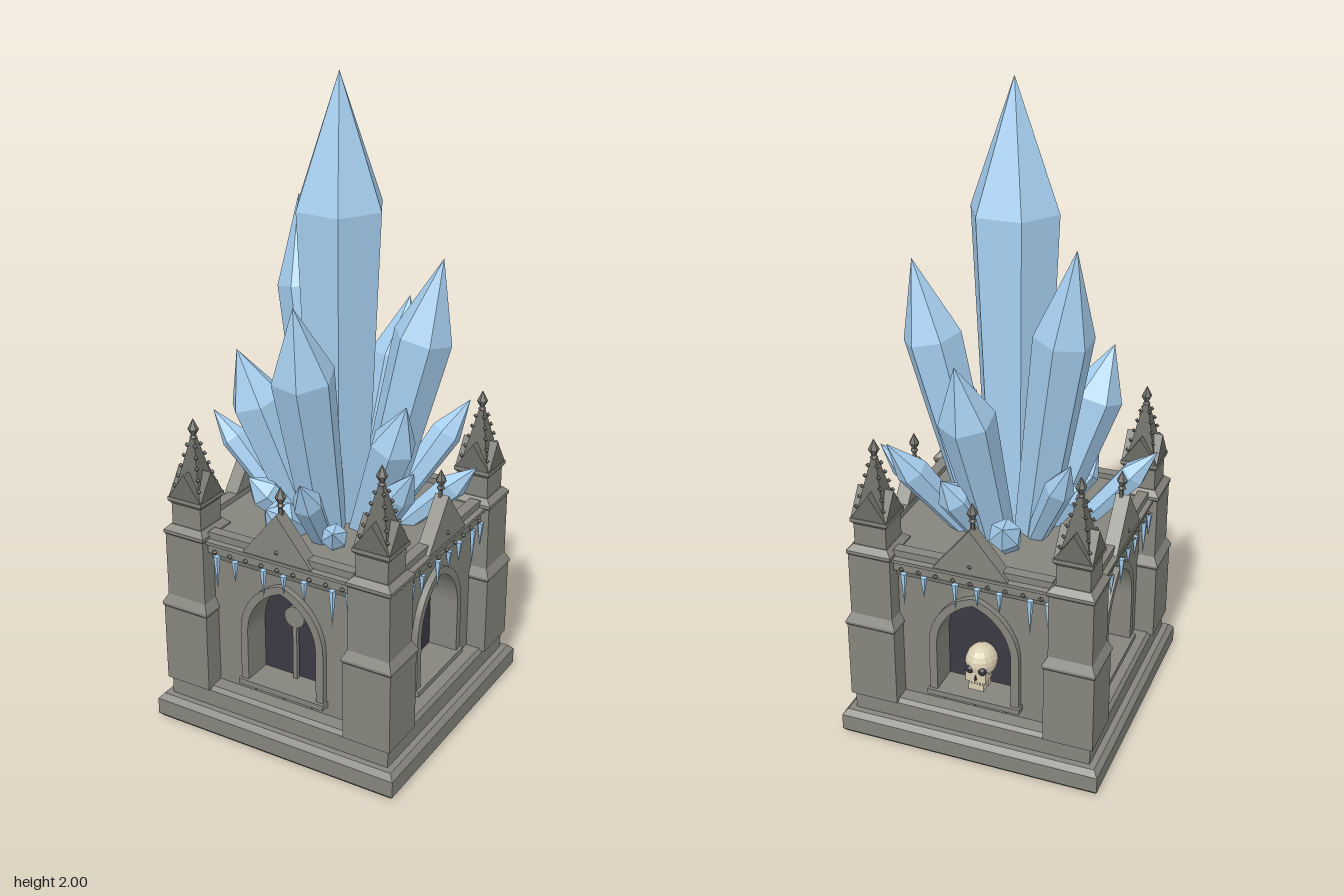
import * as THREE from 'three';

const mat = (color) => new THREE.MeshStandardMaterial({ color, flatShading: true });
const STONE = mat(0x85857d), TRIM = mat(0x6c6c66), DARK = mat(0x3b3a44);
const ICE = mat(0xa6cff0), BONE = mat(0xd9ceb2);

function add(parent, name, geometry, material, x = 0, y = 0, z = 0) {
  const m = new THREE.Mesh(geometry, material);
  m.name = name;
  m.position.set(x, y, z);
  parent.add(m);
  return m;
}

// Revolved profile of [radius, y] pairs, bottom to top
const turned = (pts, sides) => new THREE.LatheGeometry(pts.map(([r, y]) => new THREE.Vector2(r, y)), sides);

// Square-plan moulding from [half width, y] pairs
function squareTier(pts) {
  const v = pts.map(([h, y]) => new THREE.Vector2(h * Math.SQRT2, y));
  v.unshift(new THREE.Vector2(0, pts[0][1]));
  v.push(new THREE.Vector2(0, pts[pts.length - 1][1]));
  return new THREE.LatheGeometry(v, 4, Math.PI / 4);
}

// Pointed arch outline: half width w, bottom y0, springing ys, rise h
function archPath(path, w, y0, ys, h) {
  const R = (h * h + w * w) / (2 * w), a = Math.acos((R - w) / R);
  path.moveTo(-w, y0);
  path.lineTo(w, y0);
  path.absarc(w - R, ys, R, 0, a, false);
  path.absarc(R - w, ys, R, Math.PI - a, Math.PI, false);
  path.lineTo(-w, y0);
  return path;
}

const extrude = (shape, depth) => new THREE.ExtrudeGeometry(shape, { depth, bevelEnabled: false, curveSegments: 8 });

function triangle(w, y0, y1) {
  const s = new THREE.Shape();
  s.moveTo(-w, y0);
  s.lineTo(w, y0);
  s.lineTo(0, y1);
  s.closePath();
  return s;
}

const finialGeo = turned([[0, 0], [0.008, 0], [0.007, 0.025], [0.013, 0.03], [0.007, 0.038], [0.017, 0.056], [0, 0.09]], 6);

// Six-sided crystal growing from base to tip, widening to its shoulder
function crystal(parent, base, tip, r, turn = 0) {
  const a = new THREE.Vector3(...base), d = new THREE.Vector3(...tip).sub(a), L = d.length();
  const geo = turned([[0, 0], [r * 0.68, 0], [r, L * 0.73], [0, L]], 6);
  geo.rotateY(turn);
  const m = add(parent, 'crystal', geo, ICE, ...base);
  m.quaternion.setFromUnitVectors(new THREE.Vector3(0, 1, 0), d.normalize());
}

function buildSkull() {
  const g = new THREE.Group();
  g.name = 'skull';
  add(g, 'cranium', new THREE.SphereGeometry(0.05, 14, 10), BONE, 0, 0.295, 0).scale.set(1, 1.05, 1.1);
  add(g, 'cheeks', new THREE.BoxGeometry(0.066, 0.035, 0.05), BONE, 0, 0.26, 0.025);
  add(g, 'jaw', new THREE.BoxGeometry(0.05, 0.022, 0.045), BONE, 0, 0.222, 0.025);
  for (const s of [-1, 1]) {
    add(g, 'eyeSocket', new THREE.SphereGeometry(0.014, 8, 6), DARK, s * 0.02, 0.284, 0.045);
    add(g, 'jawHinge', new THREE.BoxGeometry(0.008, 0.045, 0.018), BONE, s * 0.026, 0.238, 0.01);
  }
  add(g, 'nose', new THREE.ConeGeometry(0.008, 0.02, 3), DARK, 0, 0.262, 0.05);
  for (let i = -2; i <= 2; i++) add(g, 'tooth', new THREE.BoxGeometry(0.007, 0.014, 0.006), BONE, i * 0.009, 0.238, 0.045);
  return g;
}

// One wall with niche, gable, cornice ornaments and icicles, facing +z
function buildSide(hasSkull) {
  const g = new THREE.Group();
  const wall = new THREE.Shape();
  wall.moveTo(-0.3, 0.14);
  wall.lineTo(0.3, 0.14);
  wall.lineTo(0.3, 0.6);
  wall.lineTo(-0.3, 0.6);
  wall.closePath();
  wall.holes.push(archPath(new THREE.Path(), 0.12, 0.19, 0.36, 0.165));
  add(g, 'wall', extrude(wall, 0.08), STONE, 0, 0, 0.25);

  const frame = archPath(new THREE.Shape(), 0.145, 0.19, 0.36, 0.19);
  frame.holes.push(archPath(new THREE.Path(), 0.12, 0.19, 0.36, 0.165));
  add(g, 'archMoulding', extrude(frame, 0.025), STONE, 0, 0, 0.325);

  // Sill on small corbels
  add(g, 'sill', new THREE.BoxGeometry(0.3, 0.018, 0.11), STONE, 0, 0.187, 0.305);
  for (const x of [-0.1, 0, 0.1]) add(g, 'corbel', new THREE.ConeGeometry(0.012, 0.022, 4), TRIM, x, 0.169, 0.342).rotation.x = Math.PI;

  if (hasSkull) {
    const skull = buildSkull();
    skull.position.z = 0.285;
    g.add(skull);
  } else {
    add(g, 'mullion', new THREE.BoxGeometry(0.014, 0.2, 0.014), STONE, 0, 0.295, 0.268);
    add(g, 'oculus', new THREE.CylinderGeometry(0.035, 0.035, 0.016, 16), STONE, 0, 0.41, 0.268).rotation.x = Math.PI / 2;
  }

  // Gable with raised coping and finial
  add(g, 'gable', extrude(triangle(0.125, 0.635, 0.79), 0.045), STONE, 0, 0, 0.322);
  add(g, 'gableBoss', new THREE.OctahedronGeometry(0.008), TRIM, 0, 0.67, 0.367);
  add(g, 'gableFinial', finialGeo, TRIM, 0, 0.78, 0.34);

  // Parapet strip and studs under the cornice
  add(g, 'parapet', new THREE.BoxGeometry(0.5, 0.022, 0.035), STONE, 0, 0.657, 0.337);
  for (let i = -4; i <= 4; i++) add(g, 'cornicestud', new THREE.OctahedronGeometry(0.009), TRIM, i * 0.055, 0.612, 0.366);

  // Icicles: x position and length
  const drips = [[-0.215, 0.11], [-0.15, 0.07], [-0.05, 0.09], [0.02, 0.06], [0.09, 0.07], [0.185, 0.12], [0.24, 0.08]];
  for (const [x, l] of drips) add(g, 'icicle', new THREE.ConeGeometry(0.011, l, 5), ICE, x, 0.598 - l / 2, 0.362).rotation.x = Math.PI;
  return g;
}

// Corner buttress with crocketed pinnacle
function buildTower() {
  const g = new THREE.Group();
  g.name = 'cornerTower';
  add(g, 'buttress', squareTier([[0.078, 0.14], [0.078, 0.395], [0.082, 0.4], [0.082, 0.408], [0.068, 0.435],
    [0.068, 0.64], [0.072, 0.645], [0.072, 0.655], [0.055, 0.672]]), STONE);
  add(g, 'pinnacleShaft', squareTier([[0.052, 0.65], [0.052, 0.74], [0.06, 0.75], [0.06, 0.762]]), STONE);
  for (const turn of [0, Math.PI / 2]) {
    const geo = extrude(triangle(0.058, 0.76, 0.845), 0.116);
    geo.translate(0, 0, -0.058);
    add(g, 'gablet', geo, TRIM).rotation.y = turn;
  }
  add(g, 'spire', squareTier([[0.042, 0.785], [0.005, 0.955]]), TRIM);
  for (let k = 0; k < 4; k++) {
    const a = Math.PI / 4 + k * Math.PI / 2;
    for (let i = 0; i < 5; i++) {
      const r = (0.042 - 0.0074 * i) * Math.SQRT2 + 0.003;
      add(g, 'crocket', new THREE.OctahedronGeometry(0.008), TRIM, r * Math.cos(a), 0.795 + 0.032 * i, r * Math.sin(a));
    }
  }
  add(g, 'spireFinial', finialGeo, TRIM, 0, 0.915, 0);
  return g;
}

export function createModel() {
  const model = new THREE.Group();
  model.name = 'crystalShrine';

  // Stepped base, niche backing and cornice slab
  add(model, 'basePlinth', squareTier([[0.41, 0], [0.42, 0.012], [0.42, 0.065], [0.405, 0.082]]), STONE);
  add(model, 'upperPlinth', squareTier([[0.385, 0.08], [0.385, 0.135], [0.375, 0.148]]), STONE);
  add(model, 'nicheBacking', new THREE.BoxGeometry(0.51, 0.45, 0.51), DARK, 0, 0.37, 0);
  add(model, 'cornice', squareTier([[0.335, 0.572], [0.345, 0.595], [0.358, 0.6], [0.358, 0.625], [0.37, 0.632], [0.37, 0.642], [0.34, 0.65]]), STONE);

  ['frontSide', 'leftSide', 'backSide', 'rightSide'].forEach((name, i) => {
    const side = buildSide(i === 2);
    side.name = name;
    side.rotation.y = i * Math.PI / 2;
    model.add(side);
  });

  for (const x of [-0.317, 0.317]) for (const z of [-0.317, 0.317]) {
    const t = buildTower();
    t.position.set(x, 0, z);
    model.add(t);
  }

  // Crystal cluster: tip position and radius
  const cluster = new THREE.Group();
  cluster.name = 'crystalCluster';
  model.add(cluster);
  crystal(cluster, [0, 0.6, 0.005], [0.02, 2, 0.045], 0.138, 0.5);
  const tall = [
    [-0.235, 1.59, -0.145, 0.09], [0.29, 1.48, -0.08, 0.09], [0.03, 1.4, 0.31, 0.095], [0.06, 1.27, -0.315, 0.085],
    [-0.25, 1.19, 0.18, 0.085], [0.29, 1.1, 0.13, 0.07], [0.29, 0.98, -0.29, 0.05], [-0.255, 0.98, -0.225, 0.045],
  ];
  tall.forEach(([x, y, z, r], i) => crystal(cluster, [x * 0.32, 0.6, z * 0.32], [x, y, z], r, i * 0.7));
  const low = [
    [-0.43, 0.92, 0.06, 0.042], [0.415, 0.86, -0.085, 0.042], [0.365, 0.95, 0.22, 0.045], [0.1, 0.92, 0.395, 0.045],
    [-0.08, 0.76, 0.3, 0.055], [0.15, 0.74, 0.3, 0.04], [-0.08, 0.78, -0.31, 0.05], [0.13, 0.88, -0.27, 0.05],
    [-0.22, 0.8, 0.0, 0.045], [-0.2, 0.8, 0.21, 0.05],
  ];
  low.forEach(([x, y, z, r], i) => crystal(cluster, [x * 0.4, 0.61, z * 0.4], [x, y, z], r, i * 0.9));
  return model;
}
